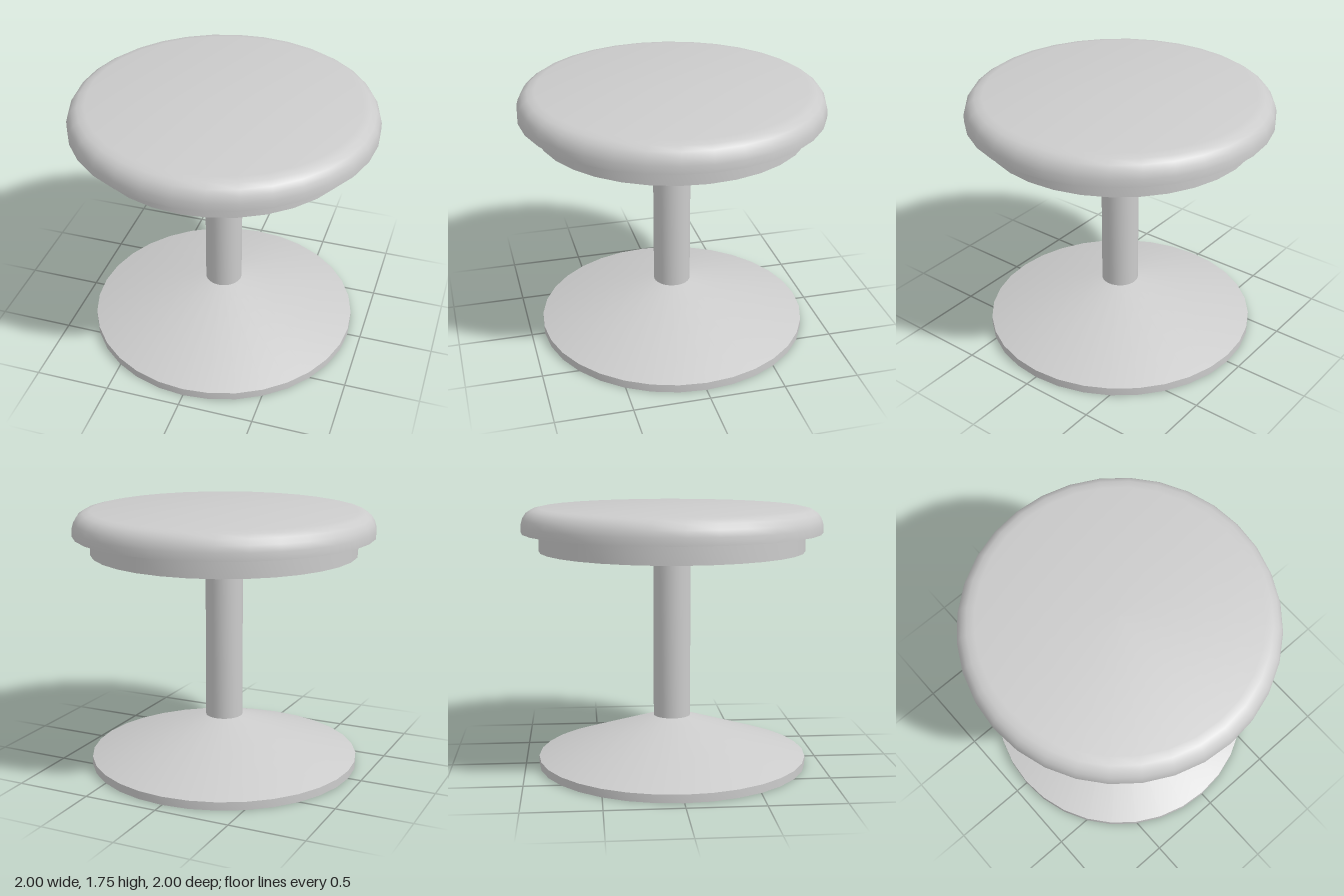
import * as THREE from 'three';
import { toCreasedNormals } from 'three/addons/utils/BufferGeometryUtils.js';

const SEGMENTS = 32;

export function createModel() {
  const group = new THREE.Group();
  const material = new THREE.MeshStandardMaterial({ color: 0xcccccc });

  // Turns a bottom-to-top [radius, height] profile, keeping hard rims sharp
  const turned = (name, profile) => {
    const points = profile.map(([r, y]) => new THREE.Vector2(r, y));
    const geometry = toCreasedNormals(new THREE.LatheGeometry(points, SEGMENTS), 0.6);
    const mesh = new THREE.Mesh(geometry, material);
    mesh.name = name;
    group.add(mesh);
  };

  // Flared foot with a thin vertical rim
  turned('base', [[0, 0], [0.91, 0], [0.91, 0.055], [0.125, 0.325], [0, 0.325]]);

  // Central post
  turned('column', [[0.125, 0.32], [0.125, 1.46]]);

  // Recessed disc under the cushion
  turned('seatPlate', [[0, 1.455], [0.885, 1.455], [0.885, 1.585], [0, 1.585]]);

  // Padded cushion with a rounded upper edge
  turned('cushion', [
    [0, 1.58], [1, 1.58], [1, 1.63], [0.988, 1.672], [0.965, 1.707],
    [0.93, 1.73], [0.88, 1.741], [0, 1.745],
  ]);

  return group;
}
